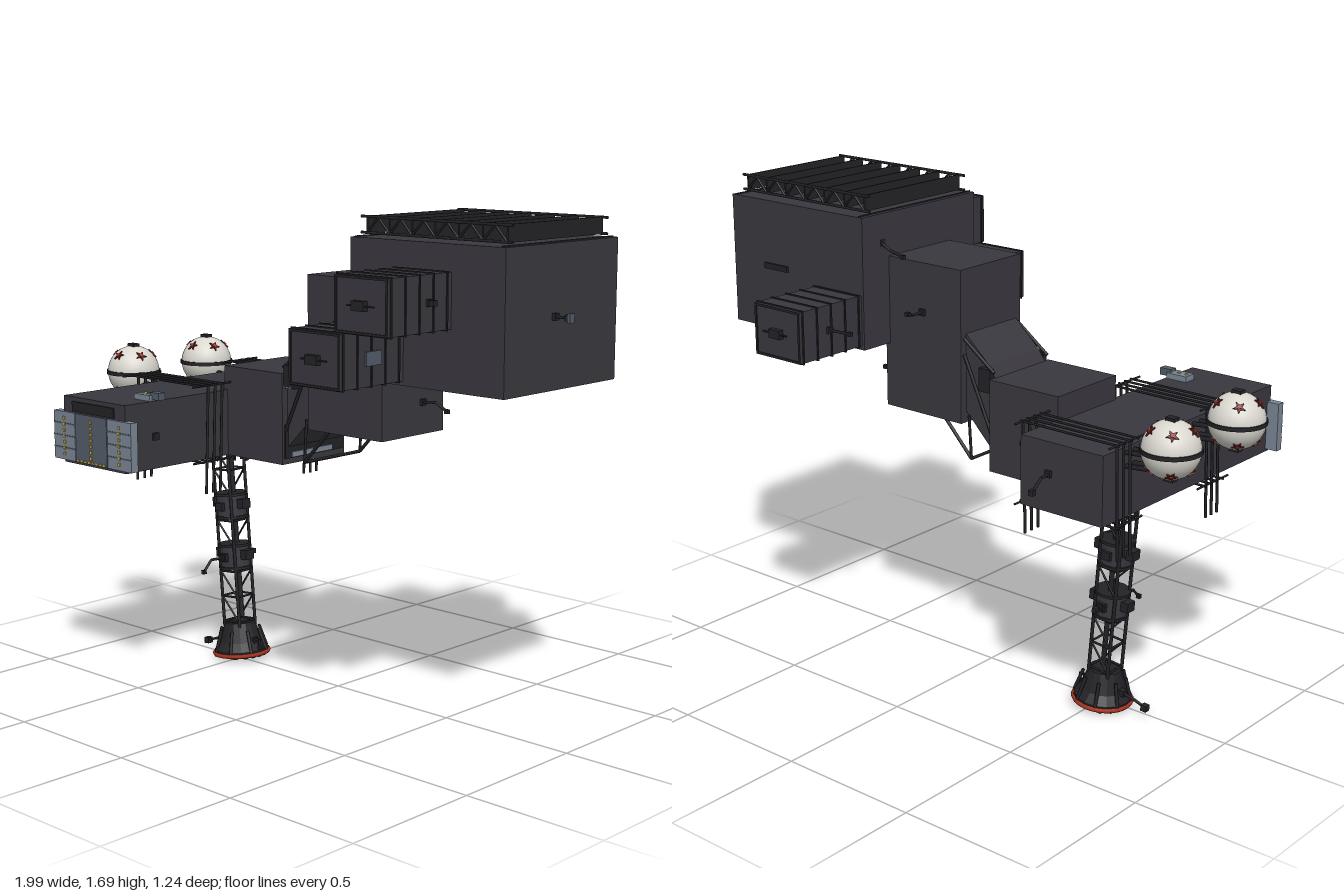
import * as THREE from 'three';

const mat = (name, color) => {
  const m = new THREE.MeshStandardMaterial({ color });
  m.name = name;
  return m;
};
const M = {
  hull: mat('hull charcoal', 0x3a383f),
  dark: mat('dark trim', 0x232327),
  steel: mat('door steel', 0x7b8794),
  slate: mat('door slate', 0x535c69),
  white: mat('tank white', 0xd9d7ce),
  red: mat('warning red', 0xa8321f),
  maroon: mat('star maroon', 0x5e1a1c),
  yellow: mat('marking yellow', 0xd2b235),
};
const V = (x, y, z) => new THREE.Vector3(x, y, z);

function add(parent, name, geo, material, pos) {
  const m = new THREE.Mesh(geo, material);
  m.name = name;
  if (pos) m.position.copy(pos);
  parent.add(m);
  return m;
}
// Box given by its limits on each axis
function box(parent, name, material, x0, x1, y0, y1, z0, z1) {
  return add(parent, name, new THREE.BoxGeometry(x1 - x0, y1 - y0, z1 - z0), material,
    V((x0 + x1) / 2, (y0 + y1) / 2, (z0 + z1) / 2));
}
// Straight rod between two points
function rod(parent, name, a, b, r = 0.004) {
  const d = b.clone().sub(a);
  const m = add(parent, name, new THREE.CylinderGeometry(r, r, d.length(), 6), M.dark,
    a.clone().add(b).multiplyScalar(0.5));
  m.quaternion.setFromUnitVectors(V(0, 1, 0), d.normalize());
}
// Jointed arm with a small head at its tip
function arm(parent, name, pts, head = 0.014) {
  const g = new THREE.Group();
  g.name = name;
  for (let i = 1; i < pts.length; i++) rod(g, 'armLink', pts[i - 1], pts[i], 0.005);
  add(g, 'armBase', new THREE.BoxGeometry(0.022, 0.022, 0.022), M.dark, pts[0]);
  add(g, 'armHead', new THREE.BoxGeometry(head, head, head), M.dark, pts[pts.length - 1]);
  parent.add(g);
}

// Docking pod with ribs along its length and a hatch at its outer end
function pod(parent, name, x0, x1, y0, y1, zIn, zOut) {
  const g = new THREE.Group();
  g.name = name;
  const s = Math.sign(zOut), t = 0.004, cx = (x0 + x1) / 2, cy = (y0 + y1) / 2;
  box(g, 'podBody', M.hull, x0, x1, y0, y1, Math.min(zIn, zOut), Math.max(zIn, zOut));
  for (let i = 0; i < 5; i++) {
    const z = zIn + (zOut - zIn) * (0.08 + i * 0.22);
    box(g, 'podRib', M.dark, x0 - t, x1 + t, y0 - t, y1 + t, z - 0.003, z + 0.003);
  }
  for (const [a, b, c, d] of [[x0, x1, y0, y0 + 0.008], [x0, x1, y1 - 0.008, y1],
    [x0, x0 + 0.008, y0, y1], [x1 - 0.008, x1, y0, y1]])
    box(g, 'podRim', M.dark, a, b, c, d, Math.min(zOut, zOut + s * t), Math.max(zOut, zOut + s * t));
  add(g, 'podHatch', new THREE.BoxGeometry(0.05, 0.03, 0.03), M.dark, V(cx, cy, zOut + s * 0.005));
  rod(g, 'podBar', V(cx - 0.05, cy, zOut + s * 0.01), V(cx + 0.06, cy, zOut + s * 0.01), 0.003);
  parent.add(g);
}

function starGeometry(r) {
  const s = new THREE.Shape();
  for (let i = 0; i < 10; i++) {
    const a = Math.PI / 2 + i * Math.PI / 5, q = i % 2 ? r * 0.45 : r;
    s[i ? 'lineTo' : 'moveTo'](q * Math.cos(a), q * Math.sin(a));
  }
  return new THREE.ExtrudeGeometry(s, { depth: 0.006, bevelEnabled: false });
}

// Spherical tank with belt, stars and caps
function tank(parent, z) {
  const g = new THREE.Group(), R = 0.095;
  g.name = 'sphereTank';
  g.position.set(-0.893, 1.055, z);
  add(g, 'tankShell', new THREE.SphereGeometry(R, 32, 20), M.white);
  add(g, 'tankBelt', new THREE.CylinderGeometry(R + 0.004, R + 0.004, 0.014, 32), M.dark);
  const star = starGeometry(0.021);
  for (let i = 0; i < 10; i++) {
    const a = (i % 5) * Math.PI * 0.4 + (i < 5 ? 0.3 : Math.PI / 2), e = i < 5 ? 0.75 : -0.75;
    const d = V(Math.cos(a) * Math.cos(e), Math.sin(e), Math.sin(a) * Math.cos(e));
    const m = add(g, 'tankStar', star, M.maroon, d.clone().multiplyScalar(R - 0.003));
    m.quaternion.setFromUnitVectors(V(0, 0, 1), d);
    const k = add(g, 'tankNozzle', new THREE.BoxGeometry(0.012, 0.012, 0.012), M.red, d.multiplyScalar(R));
    k.quaternion.copy(m.quaternion);
  }
  for (const s of [-1, 1]) add(g, 'tankCap', new THREE.BoxGeometry(0.035, 0.016, 0.028), M.dark, V(0, s * R, 0));
  for (const y of [-0.03, -0.075]) for (const dz of [-0.02, 0.02])
    rod(g, 'tankStrut', V(0.05, y, dz), V(0.16, y - 0.01, dz), 0.008);
  parent.add(g);
}

function buildLeg(g) {
  g.position.set(-0.51, 0.01, -0.018);
  g.rotation.z = 0.085;
  // Flared foot with red rim and slatted underside
  const foot = [[0.001, 0.01], [0.1, 0.01], [0.1, 0.025], [0.078, 0.055], [0.06, 0.11], [0.055, 0.125], [0.001, 0.125]];
  const geo = new THREE.LatheGeometry(foot.map(p => new THREE.Vector2(...p)), 16).toNonIndexed();
  geo.computeVertexNormals();
  add(g, 'foot', geo, M.dark);
  const rim = add(g, 'footRim', new THREE.TorusGeometry(0.1, 0.008, 6, 24), M.red, V(0, 0.012, 0));
  rim.rotation.x = Math.PI / 2;
  for (let i = -3; i <= 3; i++) {
    const w = Math.sqrt(0.0092 - (i * 0.026) ** 2);
    box(g, 'footSlat', M.hull, -w, w, 0, 0.012, i * 0.026 - 0.007, i * 0.026 + 0.007);
  }
  for (let i = 0; i < 8; i++) {
    const a = i * Math.PI / 4 + 0.4, c = Math.cos(a), s = Math.sin(a);
    rod(g, 'footFin', V(c * 0.1, 0.02, s * 0.1), V(c * 0.075, 0.1, s * 0.075), 0.006);
  }
  // Lattice rails, rungs and diagonals
  const h = 0.04, corners = [[-h, -h], [h, -h], [h, h], [-h, h]];
  corners.forEach(([x, z], i) => {
    const [u, w] = corners[(i + 1) % 4];
    rod(g, 'legRail', V(x, 0.11, z), V(x, 0.8, z), 0.006);
    for (let k = 0; k < 7; k++) {
      const y = 0.13 + k * 0.095;
      rod(g, 'legRung', V(x, y, z), V(u, y, w), 0.004);
      if (i % 2 === 0) rod(g, 'legBrace', V(x, y, z), V(u, y + 0.095, w), 0.0035);
    }
  });
  rod(g, 'legPipe', V(0, 0.14, -0.014), V(0, 0.78, -0.014), 0.009);
  // Two drum modules
  for (const y of [0.375, 0.565]) {
    add(g, 'legDrum', new THREE.CylinderGeometry(0.056, 0.056, 0.08, 12), M.hull, V(0, y, 0));
    for (const s of [-1, 1]) {
      add(g, 'drumBand', new THREE.CylinderGeometry(0.062, 0.062, 0.01, 12), M.dark, V(0, y + s * 0.042, 0));
      add(g, 'drumPortX', new THREE.BoxGeometry(0.04, 0.035, 0.04), M.dark, V(s * 0.06, y + 0.008, 0));
      add(g, 'drumPortZ', new THREE.BoxGeometry(0.035, 0.03, 0.02), M.dark, V(0, y, s * 0.055));
    }
  }
  box(g, 'legCollar', M.dark, -0.06, 0.06, 0.765, 0.795, -0.06, 0.06);
  rod(g, 'collarBrace', V(0, 0.79, -0.05), V(0, 0.72, -0.095), 0.01);
  arm(g, 'drumArm', [V(0, 0.375, 0.06), V(0, 0.378, 0.12), V(0, 0.34, 0.16)]);
  arm(g, 'drumSensor', [V(0, 0.375, -0.06), V(0, 0.375, -0.09)], 0.018);
  arm(g, 'footArmRight', [V(-0.08, 0.06, 0), V(-0.13, 0.045, 0.01), V(-0.17, 0.035, 0.01)], 0.022);
  arm(g, 'footArmLeft', [V(0.07, 0.06, 0), V(0.1, 0.065, 0), V(0.1, 0.035, 0)]);
}

function buildHangar(g) {
  box(g, 'hangar', M.hull, -0.74, -0.415, 0.8, 1.035, -0.35, 0.605);
  // Three-part door with rails and dashed markings
  const panels = [[-0.785, -0.672, M.steel], [-0.668, -0.502, M.slate], [-0.498, -0.375, M.steel]];
  panels.forEach(([a, b, m], i) => {
    box(g, 'doorPanel', m, a, b, 0.81, 0.98, i === 1 ? 0.6 : 0.585, 0.615);
    if (i !== 1) for (let k = 1; k < 4; k++)
      box(g, 'doorGroove', M.slate, a, b, 0.807 + k * 0.043, 0.812 + k * 0.043, 0.612, 0.617);
    const c = (a + b) / 2;
    for (let k = 0; k < 7; k++)
      box(g, 'doorDash', M.yellow, c - 0.005, c + 0.005, 0.826 + k * 0.021, 0.837 + k * 0.021, 0.612, 0.619);
  });
  for (let k = 0; k < 8; k++)
    box(g, 'sillDash', M.yellow, -0.66 + k * 0.02, -0.65 + k * 0.02, 0.813, 0.819, 0.612, 0.618);
  box(g, 'doorHeader', M.dark, -0.69, -0.47, 0.985, 1.02, 0.603, 0.611);
  // Cargo lift on the roof
  box(g, 'cargoLift', M.steel, -0.5, -0.42, 1.035, 1.055, 0.44, 0.49);
  box(g, 'cargoLiftCab', M.slate, -0.43, -0.385, 1.04, 1.065, 0.45, 0.48);
  for (let k = 0; k < 3; k++)
    box(g, 'cargoLiftMark', M.yellow, -0.49 + k * 0.03, -0.48 + k * 0.03, 1.052, 1.058, 0.46, 0.47);
  // Pipe frames round the hangar
  for (const z0 of [0.225, -0.265]) {
    for (const dz of [-0.05, -0.0167, 0.0167, 0.05]) {
      const z = z0 + dz;
      for (const y of [0.795, 1.065]) rod(g, 'frameBar', V(-0.775, y, z), V(-0.385, y, z), 0.004);
      if (dz < 0.04) for (const x of [-0.765, -0.395]) rod(g, 'framePost', V(x, 0.68, z + 0.015), V(x, 1.065, z), 0.005);
    }
    for (const x of [-0.765, -0.395]) for (const y of [0.795, 1.065])
      rod(g, 'frameTie', V(x, y, z0 - 0.09), V(x, y, z0 + 0.09), 0.004);
  }
  arm(g, 'rearArm', [V(-0.53, 0.93, -0.35), V(-0.53, 0.925, -0.39), V(-0.53, 0.89, -0.435)], 0.018);
  arm(g, 'sideArm', [V(-0.41, 0.95, -0.23), V(-0.32, 0.95, -0.225)]);
  box(g, 'sidePort', M.dark, -0.417, -0.407, 0.9, 0.925, 0.46, 0.485);
}

function buildPassage(g) {
  box(g, 'connector', M.hull, -0.43, -0.142, 0.8, 1.12, -0.18, 0.13);
  box(g, 'connectorEnd', M.dark, -0.143, -0.138, 0.82, 0.94, -0.17, 0.12);
  box(g, 'connectorSill', M.steel, -0.142, -0.132, 0.823, 0.842, -0.11, 0.09);
  // Sloping passage between connector and tower
  const s = new THREE.Shape([[-0.16, 0.84], [-0.02, 0.98], [-0.02, 1.25], [-0.12, 1.16], [-0.16, 1.1]]
    .map(p => new THREE.Vector2(...p)));
  add(g, 'slopedPassage', new THREE.ExtrudeGeometry(s, { depth: 0.26, bevelEnabled: false }), M.hull, V(0, 0, -0.155));
  for (const z of [-0.165, 0.115]) {
    rod(g, 'passageRail', V(-0.15, 1.14, z), V(-0.02, 1.235, z), 0.006);
    rod(g, 'passageBrace', V(-0.15, 0.9, z), V(-0.02, 1.18, z), 0.006);
    rod(g, 'lowerStrut', V(-0.05, 0.82, z), V(0.07, 0.945, z), 0.006);
    rod(g, 'lowerPost', V(-0.05, 0.82, z), V(-0.04, 0.97, z), 0.005);
    box(g, 'passageBox', M.dark, -0.14, -0.09, 1.07, 1.15, z - 0.01, z + 0.01);
  }
  rod(g, 'lowerCrossbar', V(-0.05, 0.82, -0.165), V(-0.05, 0.82, 0.115), 0.006);
  for (let i = 0; i < 3; i++)
    box(g, 'passageLamp', M.steel, -0.14 + i * 0.014, -0.13 + i * 0.014, 1.07, 1.075, 0.12, 0.127);
  box(g, 'tower', M.hull, -0.018, 0.32, 0.94, 1.47, -0.18, 0.13);
  arm(g, 'towerArm', [V(0.32, 1.05, -0.07), V(0.38, 1.055, -0.07), V(0.43, 1.03, -0.07)]);
  arm(g, 'towerMast', [V(0.15, 1.3, -0.18), V(0.15, 1.3, -0.235), V(0.17, 1.3, -0.235)]);
  arm(g, 'rearArm', [V(0.31, 1.52, -0.21), V(0.27, 1.5, -0.21), V(0.21, 1.485, -0.21)]);
}

function buildMainBlock(g) {
  box(g, 'mainBlock', M.hull, 0.302, 0.928, 1.165, 1.62, -0.308, 0.262);
  // Roof truss: upright fins joined by chords and diagonals
  const z0 = -0.26, z1 = 0.22, step = 0.094;
  for (let i = 0; i < 7; i++) {
    const x = 0.335 + i * step;
    box(g, 'roofFin', M.dark, x - 0.003, x + 0.003, 1.63, 1.685, z0, z1);
    if (i < 6) for (const z of [z0, z1]) {
      rod(g, 'roofDiagonal', V(x, 1.632, z), V(x + step / 2, 1.682, z), 0.004);
      rod(g, 'roofDiagonal', V(x + step / 2, 1.682, z), V(x + step, 1.632, z), 0.004);
    }
  }
  for (const z of [z0, z1]) for (const y of [1.632, 1.683])
    rod(g, 'roofChord', V(0.31, y, z), V(0.92, y, z), 0.005);
  for (const x of [0.32, 0.91]) box(g, 'roofEdge', M.dark, x - 0.002, x + 0.002, 1.618, 1.624, -0.305, 0.26);
  // Pods and fittings
  pod(g, 'upperFrontPod', 0.505, 0.72, 1.36, 1.535, 0.26, 0.55);
  pod(g, 'lowerFrontPod', 0.312, 0.527, 1.18, 1.355, 0.26, 0.55);
  pod(g, 'rearPod', 0.312, 0.52, 1.18, 1.355, -0.3, -0.597);
  box(g, 'podPanel', M.slate, 0.525, 0.534, 1.245, 1.29, 0.37, 0.44);
  box(g, 'podLamp', M.yellow, 0.41, 0.425, 1.352, 1.36, 0.33, 0.345);
  box(g, 'rearPlate', M.dark, 0.66, 0.77, 1.38, 1.4, -0.317, -0.306);
  arm(g, 'podArm', [V(0.312, 1.27, -0.465), V(0.22, 1.27, -0.46)]);
  arm(g, 'podSensor', [V(0.72, 1.45, 0.37), V(0.74, 1.45, 0.37)], 0.018);
  arm(g, 'sideAntenna', [V(0.93, 1.395, 0.02), V(0.985, 1.395, 0.02)], 0.02);
  box(g, 'antennaPlate', M.slate, 0.988, 0.997, 1.38, 1.41, 0.008, 0.032);
}

export function createModel() {
  const root = new THREE.Group();
  root.name = 'spaceStation';
  const section = (name, build) => {
    const g = new THREE.Group();
    g.name = name;
    build(g);
    root.add(g);
  };
  section('hangarModule', buildHangar);
  section('passageModule', buildPassage);
  section('mainModule', buildMainBlock);
  section('tanks', g => [-0.21, 0.155].forEach(z => tank(g, z)));
  section('dockingLeg', buildLeg);
  return root;
}
